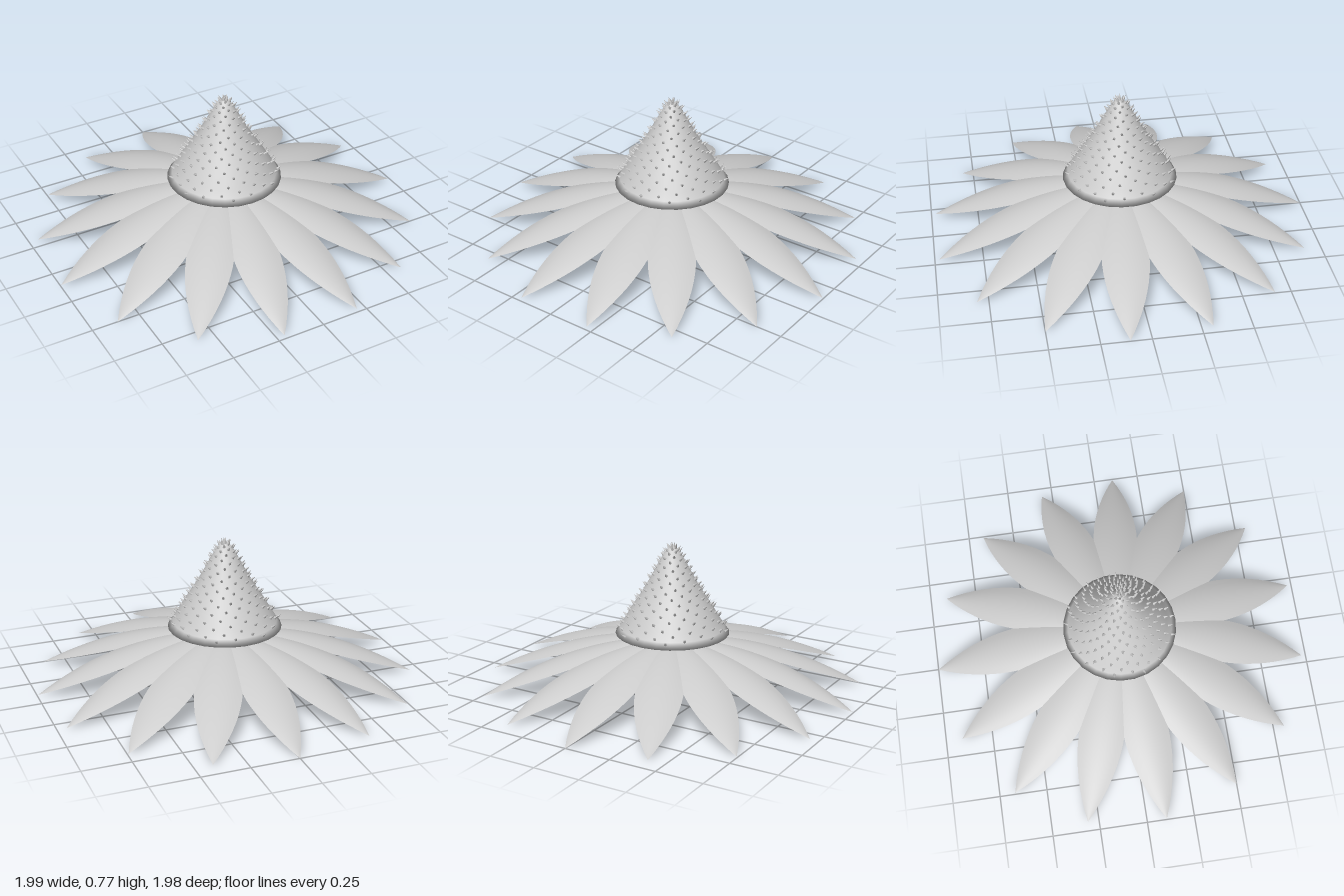
import * as THREE from 'three';
import { mergeGeometries } from 'three/addons/utils/BufferGeometryUtils.js';

const PETALS = 15, SPIKES = 210, GOLDEN = Math.PI * (3 - Math.sqrt(5));

// Cone outline as [radius, height], from the underside to the tip
const PROFILE = [[0, 0.287], [0.15, 0.287], [0.3, 0.287], [0.275, 0.32], [0.25, 0.36], [0.215, 0.42],
  [0.17, 0.49], [0.125, 0.565], [0.085, 0.64], [0.05, 0.705], [0.025, 0.74], [0, 0.75]];

// Pointed leaf shape along -z, arched downwards with drooping edges
function petalGeometry() {
  const geo = new THREE.PlaneGeometry(2, 1, 8, 20);
  const p = geo.attributes.position;
  for (let i = 0; i < p.count; i++) {
    const u = p.getX(i), r = p.getY(i) + 0.5;
    const half = r < 0.55 ? 0.55 : 0.45;
    const w = 0.12 * (1 - ((r - 0.55) / half) ** 2);
    p.setXYZ(i, u * w, 0.265 * (1 - r * r) - 0.2 * w * u * u, -r);
  }
  geo.computeVertexNormals();
  return geo;
}

// Turned cone with a slightly uneven rim
function coneGeometry() {
  const geo = new THREE.LatheGeometry(PROFILE.map(([r, y]) => new THREE.Vector2(r, y)), 26);
  const p = geo.attributes.position;
  for (let i = 0; i < p.count; i++) {
    const r = Math.hypot(p.getX(i), p.getZ(i));
    if (r < 0.27) continue;
    const k = 1 + 0.025 * Math.cos(13 * Math.atan2(p.getZ(i), p.getX(i)));
    p.setX(i, p.getX(i) * k);
    p.setZ(i, p.getZ(i) * k);
  }
  return geo;
}

// Height of the cone's side at a given radius
function coneHeight(r) {
  for (let i = 3; i < PROFILE.length; i++) {
    const [r0, y0] = PROFILE[i - 1], [r1, y1] = PROFILE[i];
    if (r <= r0 && r >= r1) return y0 + (y1 - y0) * (r0 - r) / (r0 - r1);
  }
  return 0.75;
}

// Small spikes in a sunflower spiral over the cone
function spikesGeometry() {
  const parts = [], up = new THREE.Vector3(0, 1, 0);
  for (let i = 0; i < SPIKES; i++) {
    const r = 0.285 * ((i + 0.5) / SPIKES) ** 0.75, a = i * GOLDEN;
    const dir = new THREE.Vector3(Math.cos(a) * Math.min(1, r * 20), 0.75, Math.sin(a) * Math.min(1, r * 20)).normalize();
    const spike = new THREE.ConeGeometry(0.011, 0.036, 5);
    spike.applyQuaternion(new THREE.Quaternion().setFromUnitVectors(up, dir));
    spike.translate(r * Math.cos(a) + dir.x * 0.008, coneHeight(r) + dir.y * 0.008, r * Math.sin(a) + dir.z * 0.008);
    parts.push(spike);
  }
  return mergeGeometries(parts);
}

export function createModel() {
  const model = new THREE.Group();
  model.name = 'coneflower';
  const grey = new THREE.MeshStandardMaterial({ color: 0xcccccc, side: THREE.DoubleSide });
  grey.name = 'light grey';

  const add = (name, geo) => {
    const mesh = new THREE.Mesh(geo, grey);
    mesh.name = name;
    model.add(mesh);
    return mesh;
  };

  // Ring of drooping petals meeting at the centre
  const petal = petalGeometry();
  for (let i = 0; i < PETALS; i++) add('petal', petal).rotation.y = i * 2 * Math.PI / PETALS;

  // Seed cone floating just above the petals
  add('seedCone', coneGeometry());
  add('spikes', spikesGeometry());
  return model;
}
